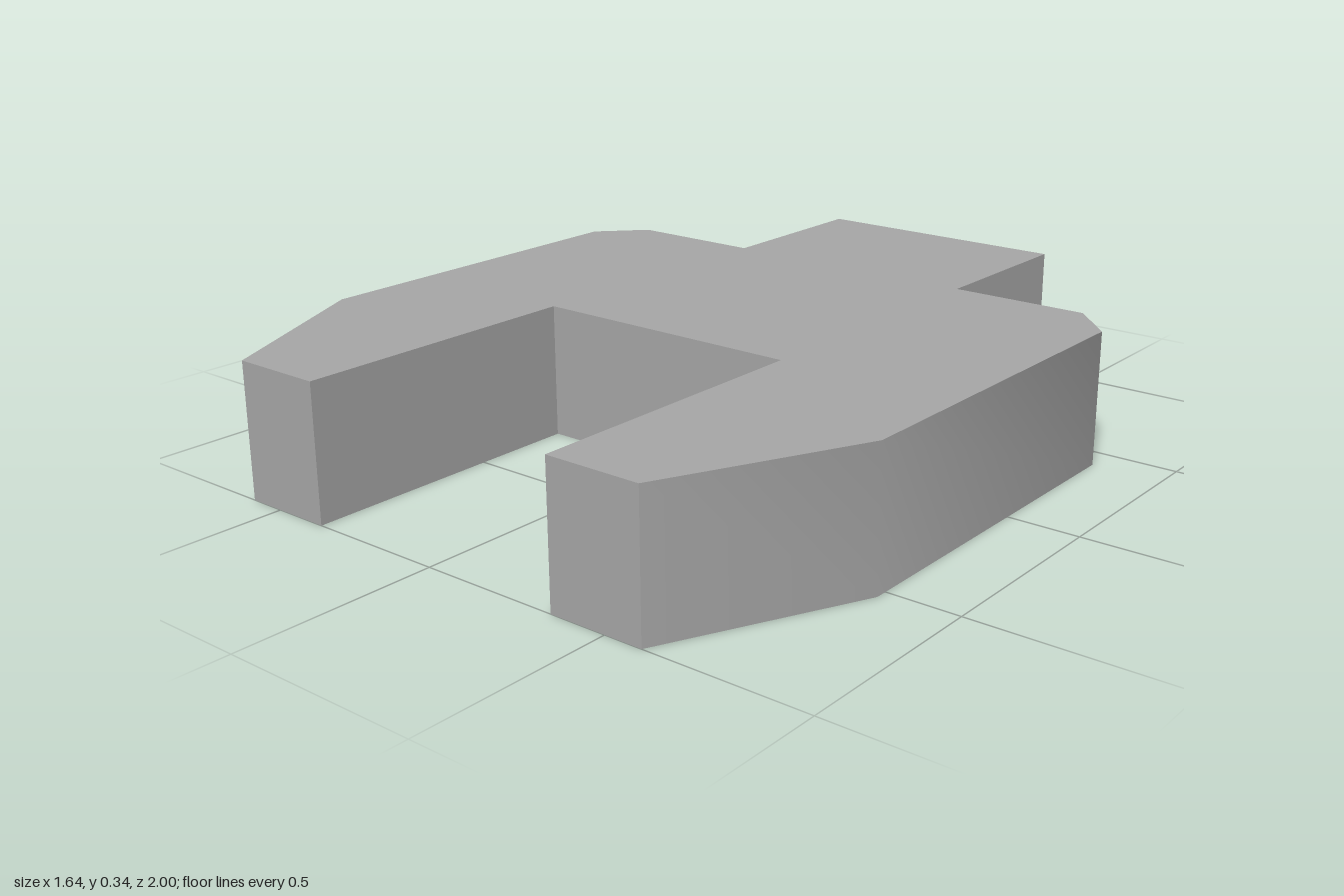
import * as THREE from 'three';
import { toCreasedNormals } from 'three/addons/utils/BufferGeometryUtils.js';

const HEIGHT = 0.34;

// Half outline on the +x side as [x, z], from the back tab round to the notch
const HALF_OUTLINE = [
  [0.35, -1], [0.35, -0.53],                // back tab
  [0.71, -0.53], [0.82, -0.415],            // shoulder with cut corner
  [0.82, 0.53], [0.595, 1],                 // straight side, then tapered prong
  [0.355, 1], [0.355, 0.24],                // prong tip and inner notch
];

export function createModel() {
  const group = new THREE.Group();
  group.name = 'forkedBlock';

  const grey = new THREE.MeshStandardMaterial({ color: 0xa4a4a4 });
  grey.name = 'grey';

  // Mirror the half outline to close the plan shape
  const mirrored = HALF_OUTLINE.map(([x, z]) => [-x, z]).reverse();
  const outline = [...HALF_OUTLINE, ...mirrored].map(([x, z]) => new THREE.Vector2(x, -z));

  // Raise the plan into a slab standing on y = 0
  const slab = new THREE.ExtrudeGeometry(new THREE.Shape(outline), {
    depth: HEIGHT,
    bevelEnabled: false,
  });
  slab.rotateX(-Math.PI / 2);

  // Shallow side corners are smooth, all other edges sharp
  const body = new THREE.Mesh(toCreasedNormals(slab, Math.PI / 4), grey);
  body.name = 'body';
  group.add(body);

  return group;
}
